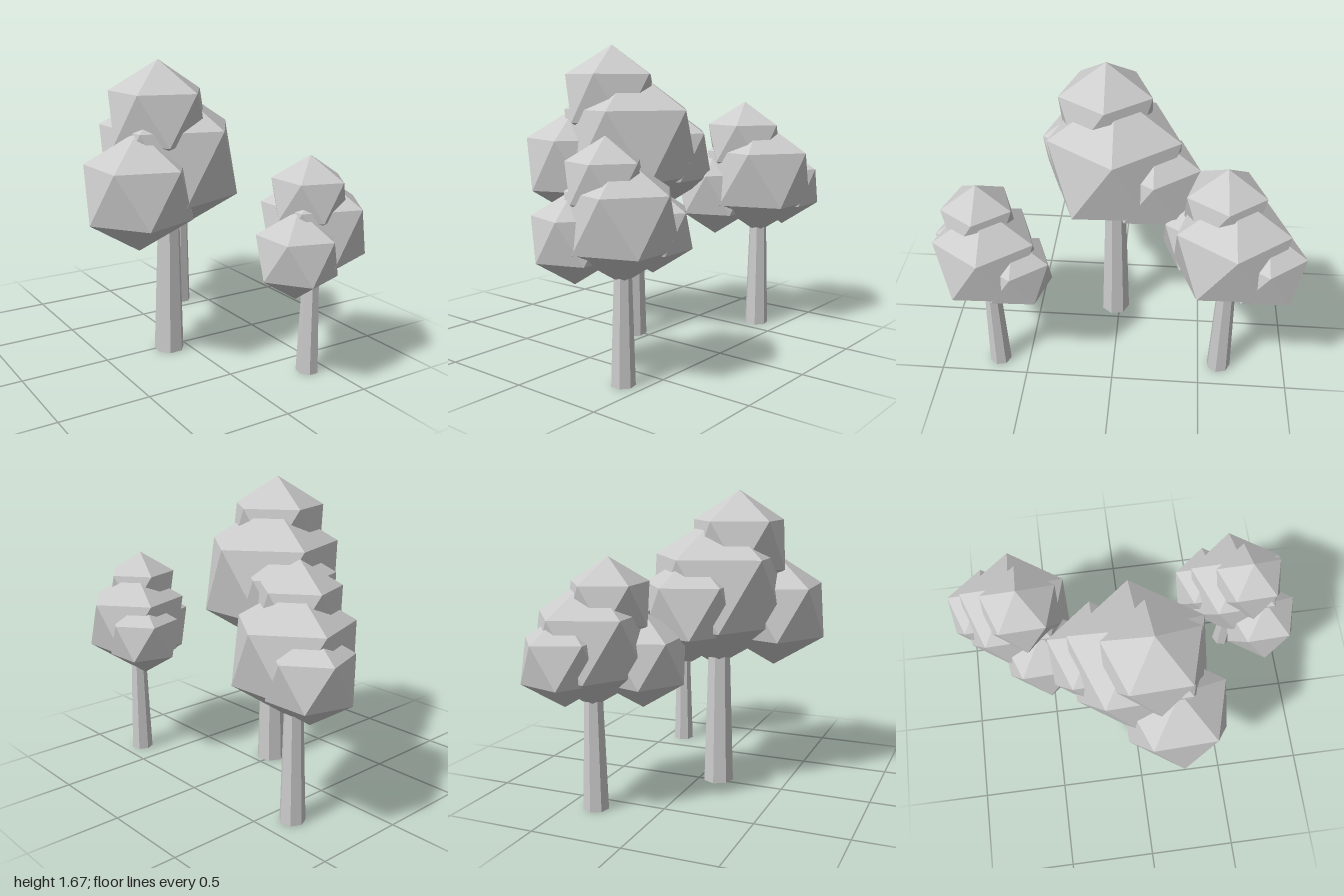
import * as THREE from 'three';

export function createModel() {
  const grey = new THREE.MeshStandardMaterial({ color: 0xcccccc, flatShading: true });
  grey.name = 'plain grey';

  // Unit icosahedron standing on one corner
  const leafBall = new THREE.IcosahedronGeometry(1, 0);
  leafBall.rotateZ(-Math.atan(2 / (1 + Math.sqrt(5))));
  leafBall.rotateY(THREE.MathUtils.degToRad(2));

  // Seven-sided tapered trunk, one edge to the back, ending inside the crown
  const trunkShape = new THREE.CylinderGeometry(0.06, 0.086, 0.85, 7);
  trunkShape.rotateY(Math.PI);
  trunkShape.translate(0, 0.425, 0);

  // Leaf clumps of one full-size tree: name, x, y, z, radius
  const clumps = [
    ['mainFoliage', 0, 1.12, 0, 0.425],
    ['topFoliage', -0.095, 1.372, 0.055, 0.298],
    ['frontFoliage', -0.275, 1.0, 0.165, 0.32],
    ['backFoliage', 0.08, 1.04, -0.218, 0.298],
  ];

  function makeTree(name, x, z, size) {
    const tree = new THREE.Group();
    tree.name = name;
    const trunk = new THREE.Mesh(trunkShape, grey);
    trunk.name = 'trunk';
    tree.add(trunk);
    for (const [part, cx, cy, cz, radius] of clumps) {
      const ball = new THREE.Mesh(leafBall, grey);
      ball.name = part;
      ball.position.set(cx, cy, cz);
      ball.scale.setScalar(radius);
      tree.add(ball);
    }
    tree.position.set(x, 0, z);
    tree.scale.setScalar(size);
    return tree;
  }

  const model = new THREE.Group();
  model.name = 'treeGroup';
  model.add(
    makeTree('largeTree', -0.11, 0.026, 1),
    makeTree('backTree', 0.343, -0.62, 0.805),
    makeTree('frontTree', 0.389, 0.674, 0.727),
  );
  return model;
}
